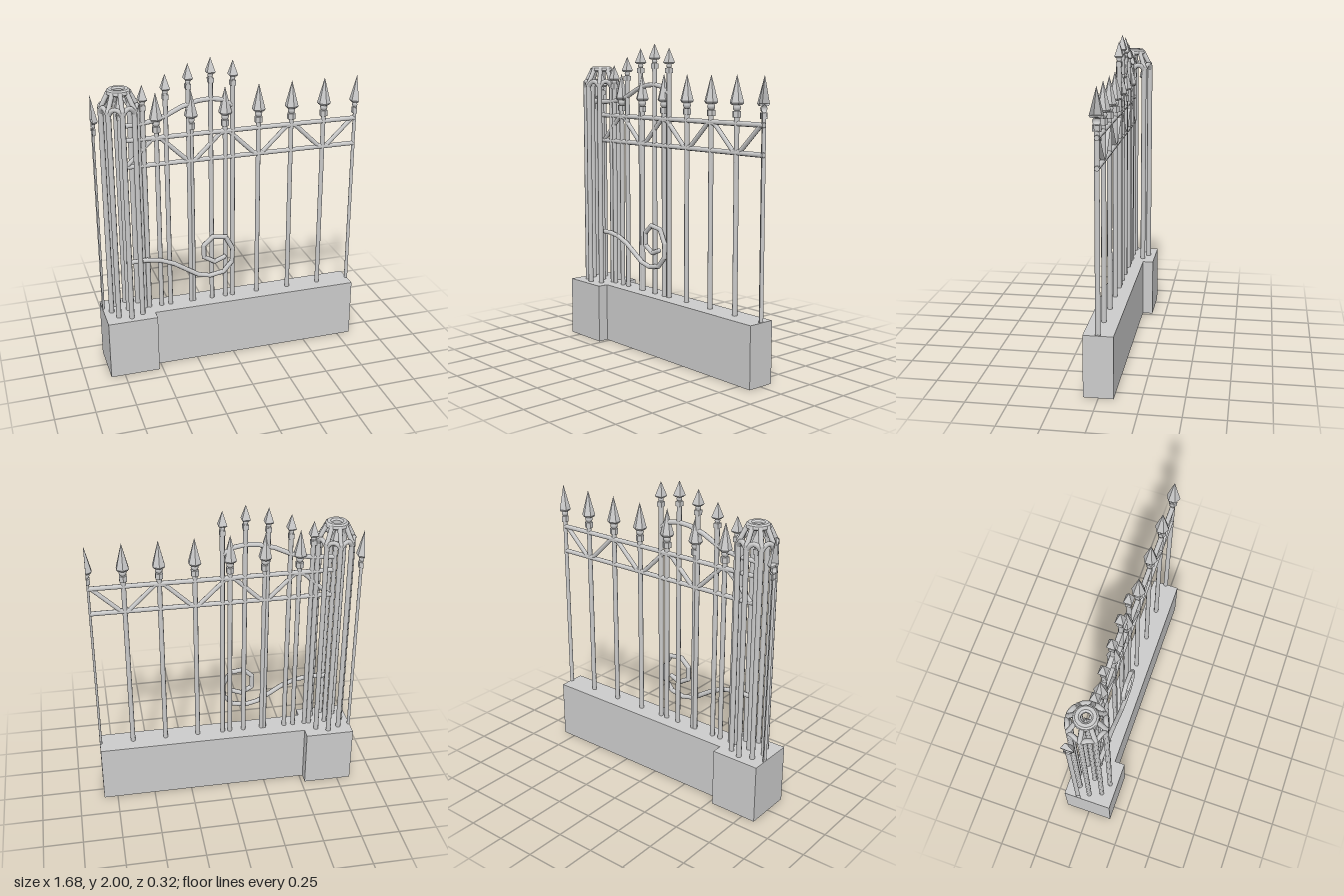
import * as THREE from 'three';

const smooth = new THREE.MeshStandardMaterial({ color: 0xcccccc, side: THREE.DoubleSide });
const flat = new THREE.MeshStandardMaterial({ color: 0xcccccc, side: THREE.DoubleSide, flatShading: true });

const BASE_TOP = 0.385;
const END = 0.839;
const POST_X = -0.68;
const ROD = 0.0153;

function add(parent, name, geometry, material, x = 0, y = 0, z = 0) {
  const mesh = new THREE.Mesh(geometry, material);
  mesh.name = name;
  mesh.position.set(x, y, z);
  parent.add(mesh);
  return mesh;
}

// Straight rod between two points
function rod(parent, name, a, b, r) {
  const from = new THREE.Vector3(...a), dir = new THREE.Vector3(...b).sub(from);
  const mesh = add(parent, name, new THREE.CylinderGeometry(r, r, dir.length(), 8), smooth);
  mesh.position.copy(from).addScaledVector(dir, 0.5);
  mesh.quaternion.setFromUnitVectors(new THREE.Vector3(0, 1, 0), dir.normalize());
}

// Rod bent at each point [x, y], at depth z
function bentRod(parent, name, points, z, r) {
  const group = new THREE.Group();
  group.name = name;
  parent.add(group);
  points.forEach(([x, y], i) => {
    add(group, 'bend', new THREE.SphereGeometry(r, 8, 6), smooth, x, y, z);
    if (i > 0) rod(group, 'length', [...points[i - 1], z], [x, y, z], r);
  });
}

// Hollow block, open underneath
function block(parent, name, x0, x1, depth) {
  const g = new THREE.BoxGeometry(x1 - x0, BASE_TOP, depth);
  const index = Array.from(g.index.array);
  index.splice(18, 6);
  g.setIndex(index);
  g.clearGroups();
  add(parent, name, g, flat, (x0 + x1) / 2, BASE_TOP / 2, 0);
}

// Fence bar with six-sided spear; an arc of PI leaves half of it
function fenceBar(parent, x, z = 0, start = 0, arc = Math.PI * 2) {
  const bar = new THREE.Group();
  bar.name = 'fenceBar';
  bar.position.set(x, 0, z);
  parent.add(bar);
  const sides = arc > 4 ? 6 : 3;
  const part = (name, top, bottom, y0, y1, n, mat) =>
    add(bar, name, new THREE.CylinderGeometry(top, bottom, y1 - y0, n, 1, false, start, arc), mat, 0, (y0 + y1) / 2, 0);
  part('shaft', ROD, ROD, BASE_TOP, 1.6, 8, smooth);
  part('collar', 0.026, 0.026, 1.565, 1.602, sides, flat);
  add(bar, 'bead', new THREE.SphereGeometry(0.024, 8, 6, start + Math.PI / 2, arc), smooth, 0, 1.622, 0);
  part('spearFoot', 0.043, 0.034, 1.638, 1.65, sides, flat);
  part('spearPoint', 0, 0.043, 1.65, 1.812, sides, flat);
}

// Gate bar with small four-sided spear
function gateBar(parent, x, tip) {
  const bar = new THREE.Group();
  bar.name = 'gateBar';
  bar.position.x = x;
  parent.add(bar);
  const square = (name, top, bottom, y0, y1) => {
    add(bar, name, new THREE.CylinderGeometry(top, bottom, y1 - y0, 4), flat, 0, (y0 + y1) / 2, 0).rotation.y = Math.PI / 4;
  };
  rod(bar, 'shaft', [0, 0.02, 0], [0, tip - 0.12, 0], ROD);
  square('collar', 0.024, 0.024, tip - 0.155, tip - 0.125);
  add(bar, 'bead', new THREE.SphereGeometry(0.017, 8, 6), smooth, 0, tip - 0.11, 0);
  square('spearFoot', 0.037, 0.024, tip - 0.1, tip - 0.09);
  square('spearPoint', 0, 0.037, tip - 0.09, tip);
}

function buildFence() {
  const fence = new THREE.Group();
  fence.name = 'fence';
  const pitch = 0.216;
  for (let i = 1; i <= 6; i++) fenceBar(fence, END - 0.003 - i * pitch);
  // Half bars where the panel ends
  fenceBar(fence, END, 0, Math.PI, Math.PI);
  fenceBar(fence, -END, -0.06, 0, Math.PI);

  for (const y of [1.36, 1.53]) rod(fence, 'rail', [-0.67, y, 0], [END, y, 0], ROD);

  // Zigzag brace with blunted corners
  const corners = [];
  for (let i = 0; i <= 7; i++) {
    const x = END - 0.003 - (7 - i) * pitch;
    const y = i % 2 ? 1.522 : 1.367;
    if (i > 0) corners.push([x - 0.028, y]);
    if (i < 7) corners.push([x + 0.028, y]);
  }
  bentRod(fence, 'zigzagBrace', corners, 0, 0.014);
  return fence;
}

function buildGate() {
  const gate = new THREE.Group();
  gate.name = 'gate';
  [1.82, 1.865, 1.92, 1.972, 2, 1.972].forEach((tip, i) => gateBar(gate, POST_X + i * 0.14, tip));
  rod(gate, 'bottomRail', [-0.67, 0.035, 0], [0.022, 0.035, 0], ROD);
  bentRod(gate, 'topRail', [[-0.67, 1.62], [-0.57, 1.625], [-0.48, 1.637], [-0.4, 1.662], [-0.3, 1.71],
    [-0.2, 1.738], [-0.12, 1.744], [-0.04, 1.73], [0.01, 1.695]], 0, ROD);
  bentRod(gate, 'scroll', [[-0.67, 0.735], [-0.55, 0.735], [-0.47, 0.722], [-0.38, 0.686], [-0.29, 0.628],
    [-0.22, 0.583], [-0.14, 0.564], [-0.05, 0.58], [0.007, 0.645], [0.012, 0.735], [-0.035, 0.825],
    [-0.12, 0.838], [-0.18, 0.785], [-0.18, 0.702], [-0.11, 0.66], [-0.045, 0.685]], 0.03, ROD);
  return gate;
}

function buildPost() {
  const post = new THREE.Group();
  post.name = 'post';
  post.position.x = POST_X;
  const r = 0.109;
  for (let i = 0; i < 8; i++) {
    const a = i * Math.PI / 4, c = Math.cos(a), s = Math.sin(a);
    rod(post, 'postBar', [r * c, BASE_TOP, r * s], [r * c, 1.745, r * s], 0.0165);
    // Rib leaning in to the crown
    rod(post, 'capRib', [r * c, 1.745, r * s], [0.06 * c, 1.84, 0.06 * s], 0.015);
    add(post, 'ribJoint', new THREE.SphereGeometry(0.0165, 8, 6), smooth, r * c, 1.745, r * s);
    // Arch between neighbouring bars
    const at = (t, y, k) => new THREE.Vector3(k * Math.cos(a + t), y, k * Math.sin(a + t));
    const arch = new THREE.CatmullRomCurve3([at(0, 1.72, r), at(0.2, 1.75, r),
      at(Math.PI / 8, 1.758, r - 0.003), at(Math.PI / 4 - 0.2, 1.75, r), at(Math.PI / 4, 1.72, r)]);
    add(post, 'capArch', new THREE.TubeGeometry(arch, 8, 0.0155, 6), smooth);
  }
  // Crown ring with an opening in the middle
  const profile = [[0.028, 1.83], [0.06, 1.82], [0.074, 1.83], [0.07, 1.848], [0.06, 1.857], [0.04, 1.857], [0.028, 1.847], [0.028, 1.83]];
  add(post, 'capCrown', new THREE.LatheGeometry(profile.map(([x, y]) => new THREE.Vector2(x, y)), 16), flat);
  return post;
}

export function createModel() {
  const model = new THREE.Group();
  model.name = 'fenceWithGate';
  block(model, 'wallBase', -0.523, END, 0.18);
  block(model, 'postBase', -END, -0.523, 0.316);
  model.add(buildFence(), buildGate(), buildPost());
  return model;
}
